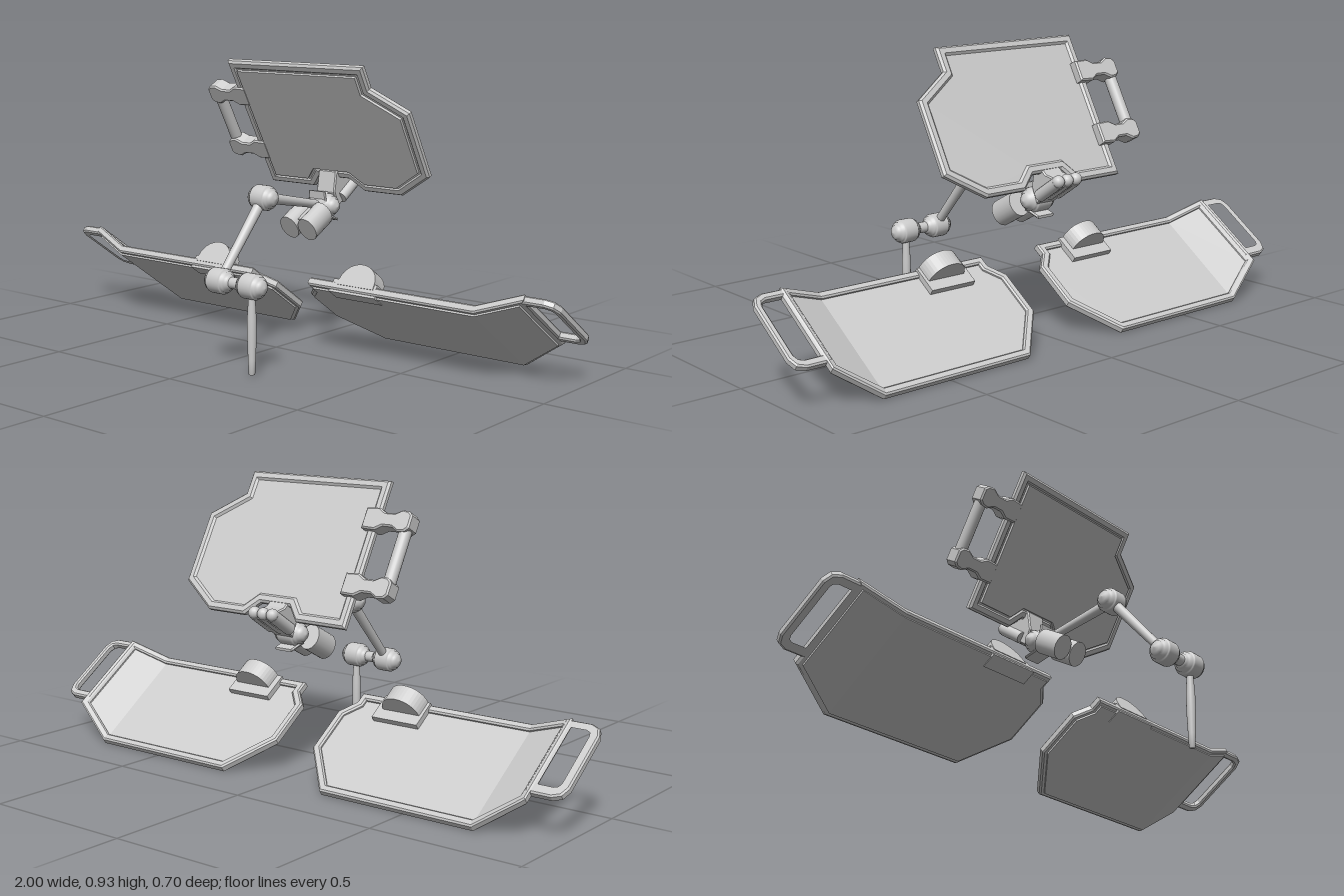
import * as THREE from 'three';

const mat = new THREE.MeshStandardMaterial({ color: 0xcccccc });
const V = (x, y, z) => new THREE.Vector3(x, y, z);

function add(parent, name, geo, pos) {
  const m = new THREE.Mesh(geo, mat);
  m.name = name;
  if (pos) m.position.copy(pos);
  parent.add(m);
  return m;
}

const signedArea = (p) => p.reduce((s, a, i) => {
  const b = p[(i + 1) % p.length];
  return s + a[0] * b[1] - a[1] * b[0];
}, 0);

// Offset a closed outline inwards with mitred corners
function inset(p, w) {
  const s = Math.sign(signedArea(p)), n = p.length;
  const normal = (a, b) => {
    const dx = b[0] - a[0], dy = b[1] - a[1], l = Math.hypot(dx, dy);
    return [-dy / l * s, dx / l * s];
  };
  return p.map((c, i) => {
    const n1 = normal(p[(i + n - 1) % n], c), n2 = normal(c, p[(i + 1) % n]);
    const k = w / (1 + n1[0] * n2[0] + n1[1] * n2[1]);
    return [c[0] + (n1[0] + n2[0]) * k, c[1] + (n1[1] + n2[1]) * k];
  });
}

// Bevelled frame swept around an outline
function rimGeometry(outline, w, lo, hi, b) {
  const p = signedArea(outline) < 0 ? [...outline].reverse() : outline;
  const profile = [[0, lo + b], [b, lo], [w - b, lo], [w, lo + b],
    [w, hi - b], [w - b, hi], [b, hi], [0, hi - b]];
  const loops = profile.map(([t, z]) => inset(p, t).map((q) => [q[0], q[1], z]));
  const pos = [];
  for (let k = 0; k < 8; k++) {
    for (let i = 0; i < p.length; i++) {
      const k2 = (k + 1) % 8, j = (i + 1) % p.length;
      const a = loops[k][i], bb = loops[k2][i], c = loops[k2][j], d = loops[k][j];
      pos.push(...a, ...bb, ...c, ...a, ...c, ...d);
    }
  }
  const g = new THREE.BufferGeometry();
  g.setAttribute('position', new THREE.Float32BufferAttribute(pos, 3));
  g.computeVertexNormals();
  return g;
}

function slab(p, lo, hi, holes = [], bevel = 0) {
  const shape = new THREE.Shape(p.map((q) => new THREE.Vector2(q[0], q[1])));
  shape.holes = holes;
  const g = new THREE.ExtrudeGeometry(shape, { depth: hi - lo - 2 * bevel, bevelEnabled: bevel > 0,
    bevelThickness: bevel, bevelSize: bevel, bevelOffset: -bevel, bevelSegments: 1 });
  return g.translate(0, 0, lo + bevel);
}

// Tapered rod between two points
function rod(parent, name, a, b, r1, r2 = r1, seg = 20) {
  const d = b.clone().sub(a);
  const m = add(parent, name, new THREE.CylinderGeometry(r2, r1, d.length(), seg), a.clone().lerp(b, 0.5));
  m.quaternion.setFromUnitVectors(V(0, 1, 0), d.normalize());
  return m;
}

// Domed, stepped pivot lying along x
function pivot(parent, name, pos, s = 1) {
  const half = [[0.04, 0], [0.04, 0.022], [0.038, 0.026], [0.033, 0.027], [0.033, 0.035],
    [0.026, 0.036], [0.024, 0.044], [0.016, 0.051], [0, 0.055]];
  const pts = [...half.slice(1).reverse().map(([r, h]) => [r, -h]), ...half];
  const g = new THREE.LatheGeometry(pts.map(([r, h]) => new THREE.Vector2(r, h * s)), 28);
  return add(parent, name, g.rotateZ(-Math.PI / 2), pos);
}

// Outer wing rises out of the flat plate
function bend(g) {
  const p = g.attributes.position;
  for (let i = 0; i < p.count; i++) {
    const rise = Math.min(Math.max(0, Math.abs(p.getX(i)) - 0.745) * 0.4, 0.06);
    p.setZ(i, p.getZ(i) - rise);
  }
  g.computeVertexNormals();
  return g;
}

function lowerPlate(side) {
  const g = new THREE.Group();
  g.name = side > 0 ? 'leftPlate' : 'rightPlate';
  const outline = [[0.12, 0.4], [0.12, 0.36], [0.075, 0.31], [0.075, 0.15], [0.2, 0],
    [0.745, 0], [0.895, 0.09], [0.895, 0.4], [0.745, 0.4]].map(([x, y]) => [x * side, y]);
  add(g, 'plateRim', bend(rimGeometry(outline, 0.026, -0.03, -0.003, 0.005)));
  const q = inset(outline, 0.015);
  add(g, 'plateFloor', bend(slab([...q.slice(0, 6), q[8]], -0.02, 0.003)));
  add(g, 'plateWing', bend(slab(q.slice(5, 9), -0.02, 0.003)));

  // Carrying loop at the outer end
  const loop = (x0, x1, y0, y1, c) => [[x0, y0], [x1 - c, y0], [x1 - c * 0.3, y0 + c * 0.3], [x1, y0 + c],
    [x1, y1 - c], [x1 - c * 0.3, y1 - c * 0.3], [x1 - c, y1], [x0, y1]].map(([x, y]) => [x * side, y]);
  const hole = new THREE.Path(loop(0.9, 0.978, 0.145, 0.372, 0.022).map((v) => new THREE.Vector2(...v)));
  add(g, 'handleLoop', slab(loop(0.875, 1, 0.118, 0.396, 0.04), -0.085, -0.06, [hole], 0.005));

  // Half-round hood on a small base
  const arch = [];
  for (let i = 0; i <= 20; i++) {
    const a = Math.PI * i / 20;
    arch.push([0.07 * Math.cos(a), 0.02 + 0.078 * Math.sin(a) ** 0.8]);
  }
  const hood = slab(arch, 0, 0.06).rotateX(-Math.PI / 2);
  add(g, 'hood', hood, V(0.305 * side, 0.402, 0)).geometry.translate(0, -0.06, 0);
  add(g, 'hoodBase', new THREE.BoxGeometry(0.17, 0.095, 0.025), V(0.3 * side, 0.352, -0.026));
  add(g, 'hoodPad', new THREE.BoxGeometry(0.18, 0.05, 0.008), V(0.3 * side, 0.372, 0.002));

  g.position.set(0, 0.007, -0.338);
  g.rotation.x = 0.962;
  return g;
}

function upperPanel() {
  const g = new THREE.Group();
  g.name = 'upperPanel';
  const outline = [[-0.24, 0], [-0.05, 0], [-0.01, 0.045], [0.11, 0.045], [0.16, 0], [0.31, 0],
    [0.44, 0.085], [0.44, 0.325], [0.315, 0.405], [0.315, 0.485], [-0.24, 0.485]];
  add(g, 'panelFrame', rimGeometry(outline, 0.03, -0.013, 0.013, 0.007));
  add(g, 'panelSheet', slab(inset(outline, 0.02), -0.006, 0.008));
  add(g, 'panelFace', slab(inset(outline, 0.034), 0, 0.017));

  // Side handle: two waisted clips and a grip bar
  const half = [[-0.2, 0.034], [-0.25, 0.036], [-0.275, 0.022], [-0.31, 0.022], [-0.335, 0.035], [-0.36, 0.032], [-0.373, 0.02]];
  const clip = [...half, ...half.map(([x, y]) => [x, -y]).reverse()];
  for (const y of [0.135, 0.35]) {
    add(g, 'handleClip', slab(clip, -0.034, 0.018, [], 0.005), V(0, y, 0));
  }
  rod(g, 'handleBar', V(-0.35, 0.13, -0.008), V(-0.35, 0.355, -0.008), 0.02);
  g.position.set(0, 0.518, -0.275);
  g.rotation.x = 0.505;
  return g;
}

function supportArm() {
  const g = new THREE.Group();
  g.name = 'supportArm';
  const x = 0.035;
  const A = V(x, 0.29, 0.31), B = V(x, 0.525, 0.105), C = V(x, 0.465, -0.2), top = V(0.165, 0.29, 0.31);

  // Hanging grip
  const grip = [[0, 0.015], [0.01, 0.015], [0.012, 0.06], [0.0145, 0.13], [0.0145, 0.19], [0.011, 0.25], [0.011, 0.29]];
  add(g, 'grip', new THREE.LatheGeometry(grip.map((v) => new THREE.Vector2(...v)), 20), V(0.165, 0, 0.31));

  // Pivots and links
  pivot(g, 'lowerPivot', A);
  pivot(g, 'gripPivot', top);
  rod(g, 'axle', A, top, 0.018);
  pivot(g, 'elbowPivot', B);
  pivot(g, 'headPivot', C, 1.15);
  rod(g, 'lowerLink', A, B, 0.014, 0.018);
  rod(g, 'upperLink', B, C, 0.018, 0.013);

  // Twin cylinders in front of the head
  const dir = V(0, 0.48, -0.877);
  for (const dx of [-0.037, 0.037]) {
    const start = V(x + dx, 0.402, -0.07);
    rod(g, 'headCylinder', start, start.clone().addScaledVector(dir, 0.095), 0.042).scale.x = 0.85;
  }
  rod(g, 'headNeck', V(x, 0.41, -0.09), V(x, 0.51, -0.27), 0.027);

  // Bracket and clamp, drawn in profile as (z, y)
  const profile = (name, pts, w) => {
    const geo = slab(pts.map(([z, y]) => [-z, y]), -w / 2, w / 2, [], 0.004);
    add(g, name, geo.rotateY(Math.PI / 2), V(x, 0, 0));
  };
  profile('bracket', [[-0.165, 0.515], [-0.174, 0.515], [-0.184, 0.437], [-0.24, 0.42], [-0.238, 0.411], [-0.176, 0.428]], 0.07);
  profile('clampBody', [[-0.212, 0.51], [-0.222, 0.575], [-0.238, 0.588], [-0.275, 0.557], [-0.315, 0.55],
    [-0.335, 0.525], [-0.235, 0.457]], 0.075);

  // Knuckled clamp end
  for (const dx of [-0.036, 0, 0.036]) {
    rod(g, 'clampFinger', V(x + dx, 0.487, -0.25), V(x + dx, 0.54, -0.33), 0.02);
    add(g, 'clampTip', new THREE.SphereGeometry(0.02, 16, 12), V(x + dx, 0.543, -0.332));
  }
  return g;
}

export function createModel() {
  const model = new THREE.Group();
  model.name = 'panelRig';
  model.add(lowerPlate(1), lowerPlate(-1), upperPanel(), supportArm());
  return model;
}
